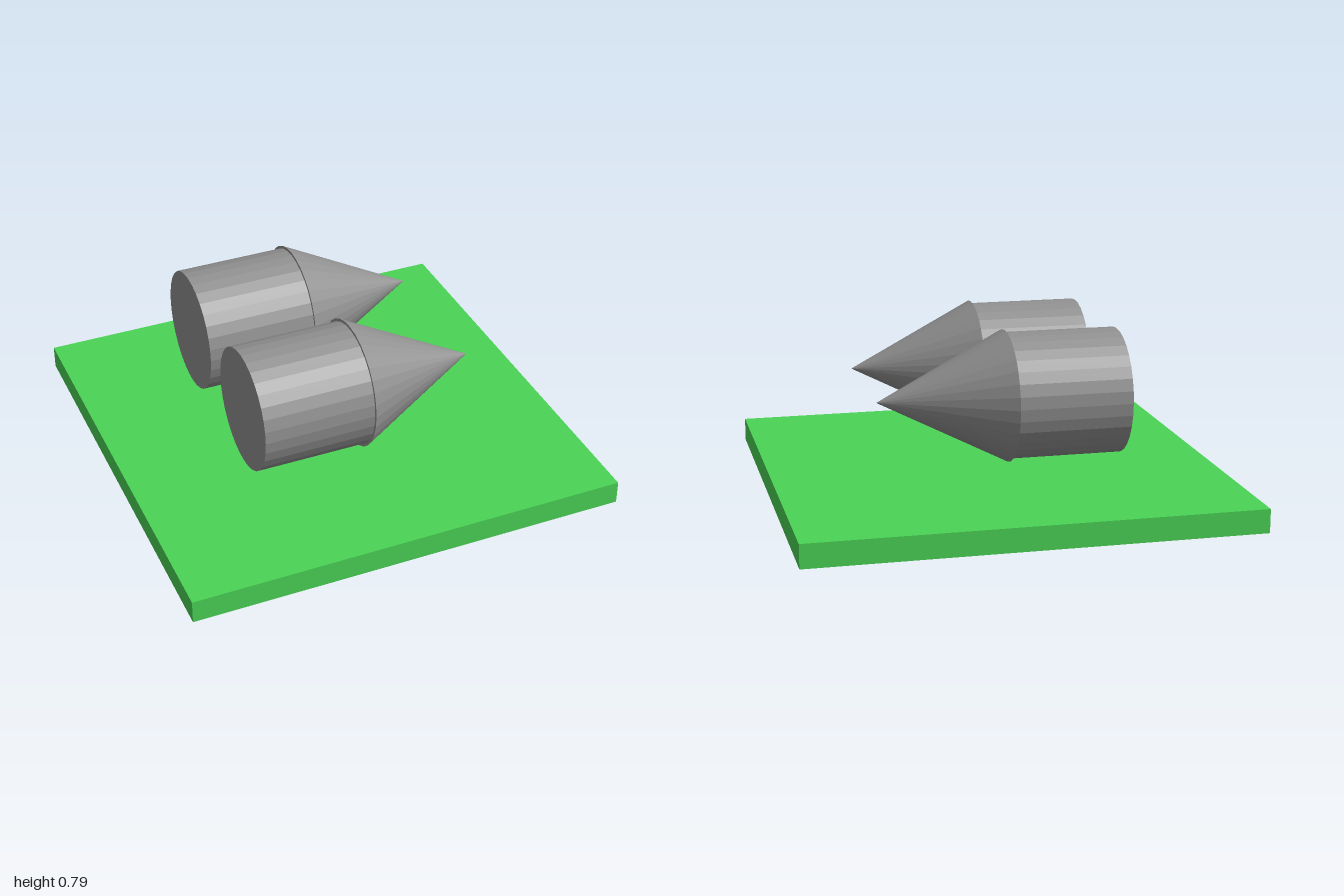
import * as THREE from 'three';

export function createModel() {
  const model = new THREE.Group();
  const green = new THREE.MeshStandardMaterial({ color: 0x4ad556, flatShading: true });
  green.name = 'green';
  const grey = new THREE.MeshStandardMaterial({ color: 0x919191, flatShading: true });
  grey.name = 'grey';

  const add = (parent, name, geometry, material, x, y, z) => {
    const mesh = new THREE.Mesh(geometry, material);
    mesh.name = name;
    mesh.position.set(x, y, z);
    parent.add(mesh);
  };

  // Square base slab
  add(model, 'base', new THREE.BoxGeometry(2, 0.107, 2), green, 0, 0.0535, 0);

  // Solids of revolution laid along +x, slightly taller than wide
  const bodyGeometry = new THREE.CylinderGeometry(0.279, 0.279, 0.505, 32)
    .rotateZ(-Math.PI / 2).scale(1, 1, 0.977);
  const noseGeometry = new THREE.ConeGeometry(0.292, 0.573, 32)
    .rotateZ(-Math.PI / 2).scale(1, 1, 0.977);

  // Two pointed cylinders floating side by side above the base
  for (const side of [-1, 1]) {
    const rocket = new THREE.Group();
    rocket.name = side < 0 ? 'backPointedCylinder' : 'frontPointedCylinder';
    rocket.position.set(0, 0.495, side * 0.333);
    add(rocket, 'body', bodyGeometry, grey, -0.2605, 0, 0);
    add(rocket, 'nose', noseGeometry, grey, 0.2785, 0, 0);
    model.add(rocket);
  }
  return model;
}
